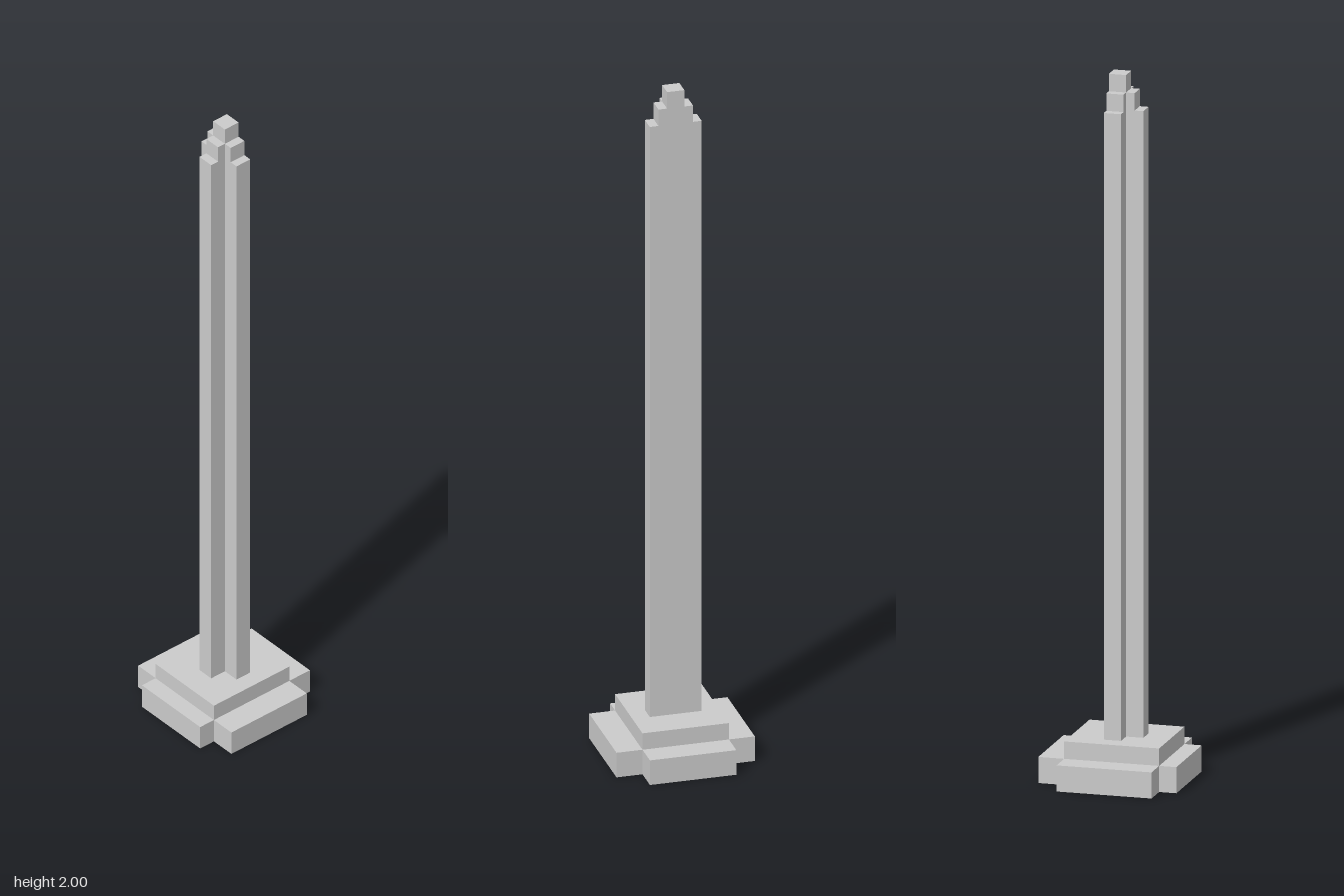
import * as THREE from 'three';

// The whole tower sits on a cubic grid, 81 units high
const U = 2 / 81;

export function createModel() {
  const group = new THREE.Group();
  const material = new THREE.MeshStandardMaterial({ color: 0xcccccc, flatShading: true });

  // Raises a floor plan, given as [x, z] grid corners, from y0 to y1
  function addStorey(name, plan, y0, y1) {
    const shape = new THREE.Shape(plan.map(([x, z]) => new THREE.Vector2(x * U, -z * U)));
    const geometry = new THREE.ExtrudeGeometry(shape, { depth: (y1 - y0) * U, bevelEnabled: false });
    geometry.rotateX(-Math.PI / 2);
    const mesh = new THREE.Mesh(geometry, material);
    mesh.name = name;
    mesh.position.y = y0 * U;
    group.add(mesh);
  }

  const rectangle = (x0, x1, z) => [[x0, z], [x1, z], [x1, -z], [x0, -z]];

  // T-shaped plan: flat on the left, with arms to the front, back and right
  const tee = (reach) => [
    [-1, reach], [1, reach], [1, -reach], [-1, -reach],
    [-1, -1], [-reach, -1], [-reach, 1], [-1, 1],
  ];

  // Cross-shaped plinth with notched corners
  addStorey('plinth', [
    [-6, 8], [5, 8], [5, 5], [8, 5], [8, -5], [5, -5],
    [5, -8], [-6, -8], [-6, -5], [-8, -5], [-8, 5], [-6, 5],
  ], 0, 3);
  addStorey('upperBase', rectangle(-6, 5, 5), 3, 5);

  // Shaft and its stepped crown
  addStorey('shaft', tee(3), 5, 77);
  addStorey('crownStep', tee(2), 77, 79);
  addStorey('cap', rectangle(-1, 1, 1), 79, 81);

  return group;
}
